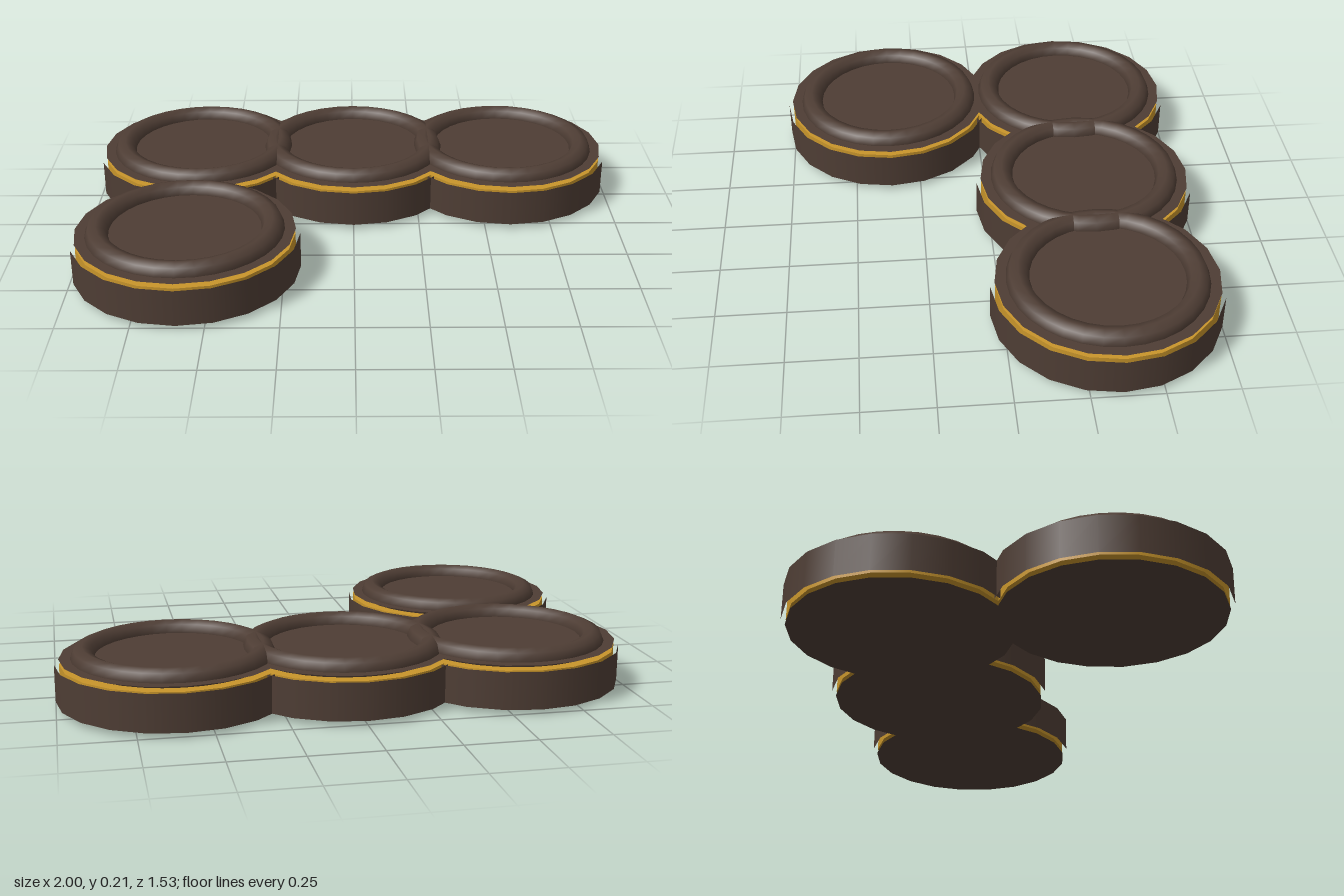
import * as THREE from 'three';

const SIDES = 20;
const WALL_R = 0.405, FACE_R = 0.39;      // outer band and face discs
const TOP = 0.168, BEVEL = 0.018;         // face height and open edge gap

export function createModel() {
  const model = new THREE.Group();
  model.name = 'linkedDiscs';

  const brown = new THREE.MeshStandardMaterial({ color: 0x4e3d34 });
  const gold = new THREE.MeshStandardMaterial({ color: 0xc8952b });
  const bandHeight = TOP - 2 * BEVEL;

  // Shared geometries
  const band = new THREE.CylinderGeometry(WALL_R, WALL_R, bandHeight, SIDES, 1, true);
  const core = new THREE.CylinderGeometry(FACE_R - 0.002, FACE_R - 0.002, bandHeight, SIDES);
  const face = new THREE.CircleGeometry(FACE_R, SIDES).rotateX(-Math.PI / 2);
  const base = new THREE.CircleGeometry(FACE_R, SIDES).rotateX(Math.PI / 2);
  const rim = new THREE.TorusGeometry(0.31, 0.041, 8, 32).rotateX(Math.PI / 2);

  function addPart(parent, name, geometry, material, y) {
    const mesh = new THREE.Mesh(geometry, material);
    mesh.name = name;
    mesh.position.y = y;
    parent.add(mesh);
  }

  // Four discs in an L: a row of three along the back, one in front on the right
  const centres = [[-0.595, -0.36], [0, -0.36], [0.595, -0.36], [-0.595, 0.36]];
  centres.forEach(([x, z], i) => {
    const disc = new THREE.Group();
    disc.name = `disc${i + 1}`;
    disc.position.set(x, 0, z);
    addPart(disc, 'sideBand', band, brown, TOP / 2);
    addPart(disc, 'goldCore', core, gold, TOP / 2);   // shows through the edge gaps
    addPart(disc, 'topFace', face, brown, TOP);
    addPart(disc, 'bottomFace', base, brown, 0);
    addPart(disc, 'raisedRim', rim, brown, TOP);
    model.add(disc);
  });

  return model;
}
